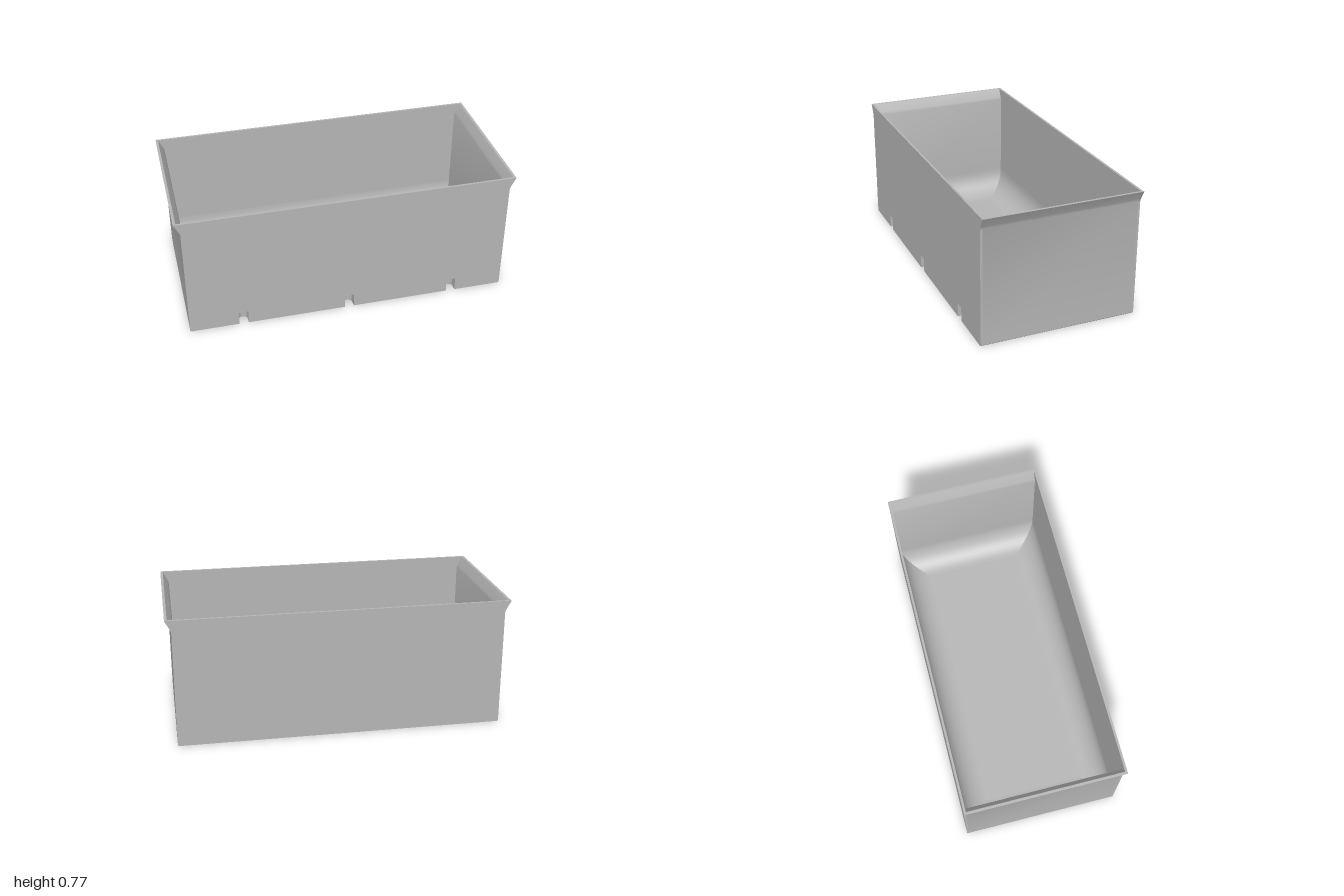
import * as THREE from 'three';
import { toCreasedNormals } from 'three/addons/utils/BufferGeometryUtils.js';

const H = 0.77, D = 0.47;            // height, half depth
const A = 0.952, B = 0.457;          // inner half width and half depth
const FLOOR = 0.02, R = 0.155;       // floor height and inner fillet radius
const NX = [-0.645, 0, 0.645], NR = 0.028, NH = 0.085, NS = 0.02; // drain notches

// Smooth surface through rows of points
function grid(rows) {
  const n = rows[0].length, index = [];
  for (let i = 0; i < rows.length - 1; i++) {
    for (let j = 0; j < n - 1; j++) {
      const a = i * n + j, b = a + n;
      index.push(a, b, a + 1, b, b + 1, a + 1);
    }
  }
  const g = new THREE.BufferGeometry();
  g.setAttribute('position', new THREE.Float32BufferAttribute(rows.flat(2), 3));
  g.setIndex(index);
  g.computeVertexNormals();
  return g;
}

const toShape = (pts) => new THREE.Shape(pts.map(([x, y]) => new THREE.Vector2(x, y)));

export function createModel() {
  const group = new THREE.Group();
  const grey = new THREE.MeshStandardMaterial({ color: 0xb6b6b6, side: THREE.DoubleSide });
  grey.name = 'grey';
  const add = (name, geometry) => {
    const mesh = new THREE.Mesh(geometry, grey);
    mesh.name = name;
    group.add(mesh);
    return mesh;
  };
  const extrude = (pts, depth) => new THREE.ExtrudeGeometry(toShape(pts), { depth, bevelEnabled: false });

  // Long walls: outline with flared top corners, the front one notched below
  const flare = [[0.96, 0], [0.965, 0.005], [0.965, 0.7], [0.971, 0.716], [1, H]];
  const outline = [...flare, ...flare.map(([x, y]) => [-x, y]).reverse()];
  const notches = NX.flatMap((x) => [[x - NR, 0], [x - NR, NH], [x + NR, NH], [x + NR, 0]]);
  add('frontWall', extrude([...outline, ...notches], D - B)).position.z = B;
  add('backWall', extrude(outline, D - B)).position.z = -D;

  // End walls with the outward flare
  const endProfile = [...flare, [0.985, H], [0.958, 0.717], [A, 0.7], [A, 0]];
  for (const side of [1, -1]) {
    const g = extrude(endProfile, 2 * B);
    g.translate(0, 0, -B);
    if (side < 0) g.rotateY(Math.PI);
    add(side > 0 ? 'leftEndWall' : 'rightEndWall', toCreasedNormals(g, 0.6));
  }

  // Inner fillets, mitred at the corners, and the floor
  const steps = 12, long = [], short = [];
  for (let k = 0; k <= steps; k++) {
    const t = (k / steps) * Math.PI / 2;
    const inset = R * (1 - Math.cos(t)), y = FLOOR + R * (1 - Math.sin(t));
    const x = A - inset, z = B - inset;
    long.push([[x, y, z], [-x, y, z]]);
    short.push([[x, y, -z], [x, y, z]]);
  }
  for (const s of [0, Math.PI]) {
    add(s ? 'backFillet' : 'frontFillet', grid(long)).rotation.y = s;
    add(s ? 'rightFillet' : 'leftFillet', grid(short)).rotation.y = s;
  }
  const floor = new THREE.PlaneGeometry(2 * (A - R), 2 * (B - R));
  add('floor', floor.rotateX(-Math.PI / 2)).position.y = FLOOR;

  // Notch plan: straight sides with a round back, as [x, depth]
  const plan = [[-NR, 0]];
  for (let i = 0; i <= 12; i++) {
    const t = Math.PI * (1 - i / 12);
    plan.push([NR * Math.cos(t), NS + NR * Math.sin(t)]);
  }
  plan.push([NR, 0]);

  // Underside with the notches cut from its front edge
  const cuts = NX.flatMap((x) => plan.map(([px, d]) => [x + px, B - d]));
  const base = new THREE.ShapeGeometry(toShape([[-A, -B], [A, -B], [A, B], ...cuts.reverse(), [-A, B]]));
  add('underside', base.rotateX(Math.PI / 2));

  // Notch linings: upright wall and a ceiling sloping down inwards
  const ceiling = (d) => NH - 0.95 * d;
  for (const x of NX) {
    const low = plan.map(([px, d]) => [x + px, 0, B - d]);
    const high = plan.map(([px, d]) => [x + px, ceiling(d), B - d]);
    add('notchWall', grid([high, low]));
    const rows = high.slice(0, high.length / 2 + 1).map((p, i) => [p, high[high.length - 1 - i]]);
    add('notchCeiling', grid(rows.slice(0, 8)));
  }
  return group;
}
